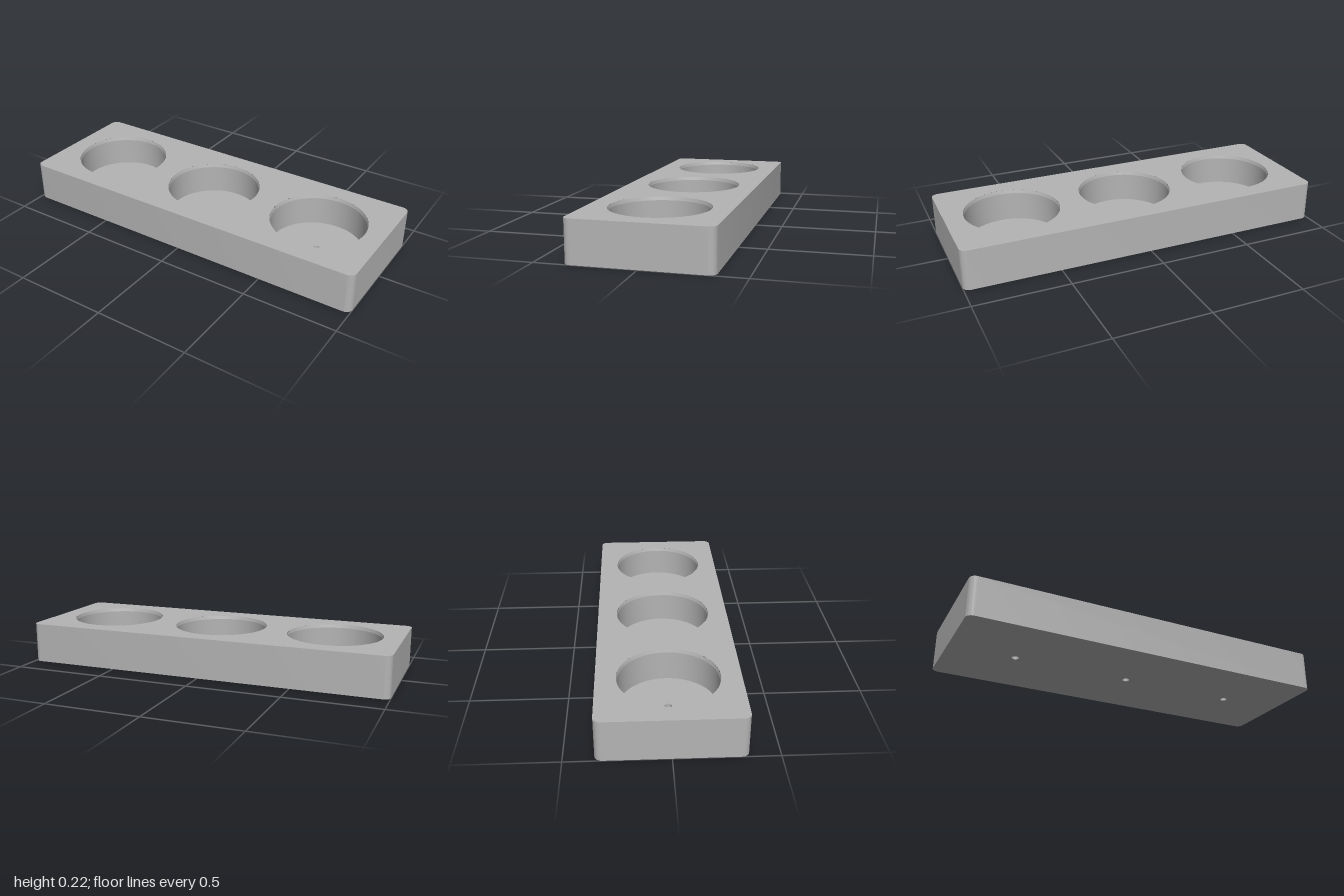
import * as THREE from 'three';
import { toCreasedNormals } from 'three/addons/utils/BufferGeometryUtils.js';

const HALF_X = 1, HALF_Z = 0.355, HEIGHT = 0.215, CORNER = 0.036;
const FLOOR = 0.04, RIM_R = 0.253, POCKET_R = 0.248, RIM_DEPTH = 0.018, PIN_R = 0.019;
const CENTRES = [-0.645, 0, 0.645];
const SEGMENTS = 64;

// Rounded rectangle, optionally pierced by one circle per pocket
function outline(holeRadius) {
  const s = new THREE.Shape();
  const x = HALF_X - CORNER, y = HALF_Z - CORNER, q = Math.PI / 2;
  s.moveTo(HALF_X, -y);
  s.absarc(x, y, CORNER, 0, q);
  s.absarc(-x, y, CORNER, q, 2 * q);
  s.absarc(-x, -y, CORNER, 2 * q, 3 * q);
  s.absarc(x, -y, CORNER, 3 * q, 4 * q);
  if (holeRadius) {
    for (const cx of CENTRES) {
      const hole = new THREE.Path();
      hole.absarc(cx, 0, holeRadius, 0, Math.PI * 2, true);
      s.holes.push(hole);
    }
  }
  return s;
}

// Only the side band of an extruded outline, without its caps
function sideBand() {
  const full = new THREE.ExtrudeGeometry(outline(), {
    depth: HEIGHT, bevelEnabled: false, curveSegments: 16,
  });
  const { start, count } = full.groups[1];
  const band = new THREE.BufferGeometry();
  const points = full.attributes.position.array.slice(start * 3, (start + count) * 3);
  band.setAttribute('position', new THREE.BufferAttribute(points, 3));
  return toCreasedNormals(band.rotateX(-Math.PI / 2), 0.6);
}

export function createModel() {
  const group = new THREE.Group();
  group.name = 'threePocketHolder';
  const grey = new THREE.MeshStandardMaterial({ color: 0xb4b4b4 });
  grey.name = 'grey';

  const add = (name, geometry, x = 0, y = 0) => {
    const mesh = new THREE.Mesh(geometry, grey);
    mesh.name = name;
    mesh.position.set(x, y, 0);
    group.add(mesh);
  };

  // Block faces
  add('outerWall', sideBand());
  add('topFace', new THREE.ShapeGeometry(outline(RIM_R), SEGMENTS).rotateX(-Math.PI / 2), 0, HEIGHT);
  add('bottomFace', new THREE.ShapeGeometry(outline(PIN_R), SEGMENTS).rotateX(Math.PI / 2));

  // Round pockets: chamfered rim, wall, floor and through hole
  const profile = [
    [RIM_R, HEIGHT], [POCKET_R, HEIGHT - RIM_DEPTH], [POCKET_R, FLOOR], [PIN_R, FLOOR], [PIN_R, 0],
  ].map(([r, y]) => new THREE.Vector2(r, y));
  const pocket = toCreasedNormals(new THREE.LatheGeometry(profile, SEGMENTS), 0.2);
  CENTRES.forEach((x, i) => add(['rightPocket', 'middlePocket', 'leftPocket'][i], pocket, x));

  return group;
}
